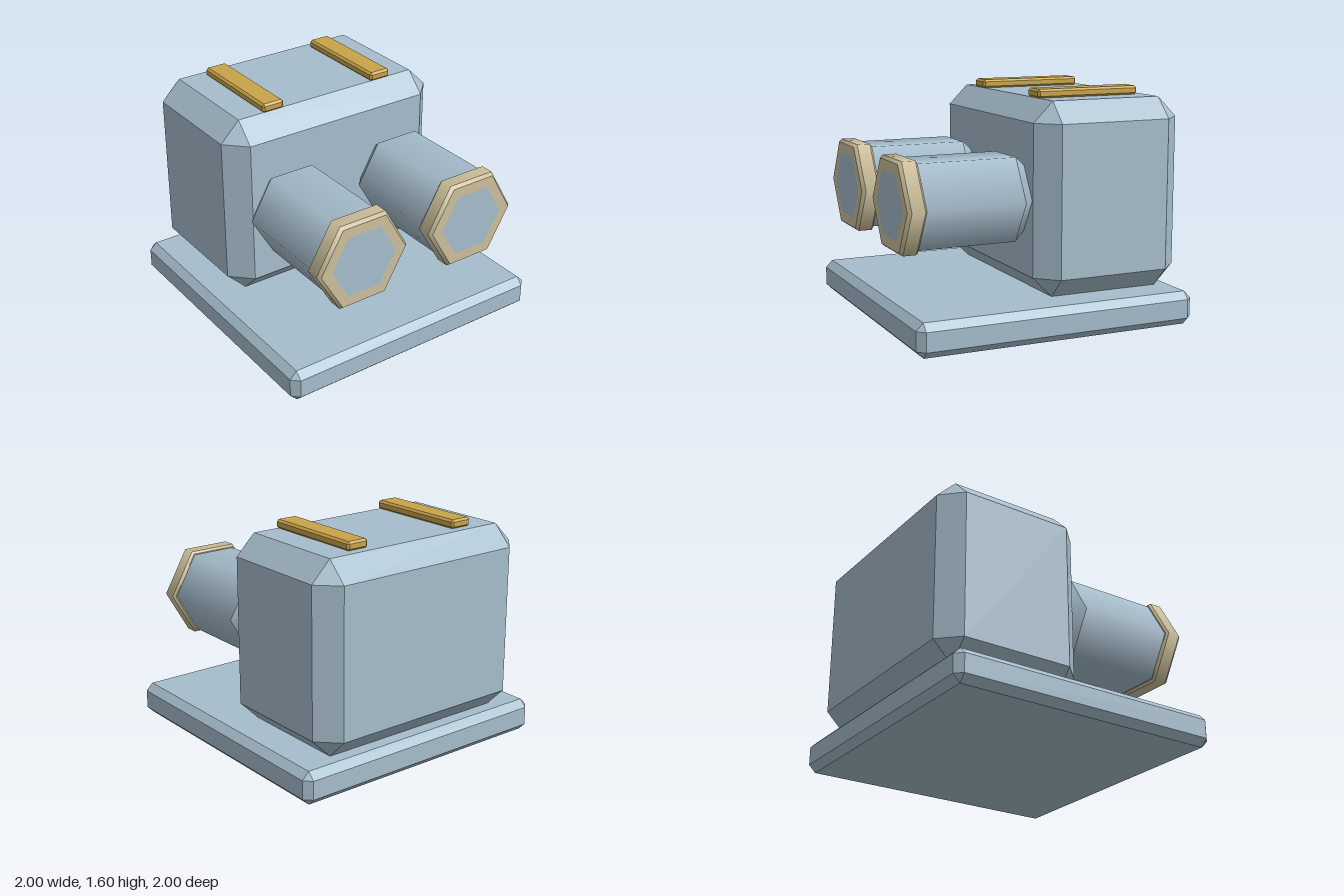
import * as THREE from 'three';
import { ConvexGeometry } from 'three/addons/geometries/ConvexGeometry.js';

// Box between two corners with every edge chamfered by c
function chamferBox(min, max, c) {
  const mid = min.map((v, i) => (v + max[i]) / 2);
  const half = min.map((v, i) => (max[i] - v) / 2);
  const points = [];
  for (const sx of [-1, 1]) for (const sy of [-1, 1]) for (const sz of [-1, 1]) {
    const s = [sx, sy, sz];
    for (let outer = 0; outer < 3; outer++) {
      points.push(new THREE.Vector3(...s.map((d, i) => mid[i] + d * (half[i] - (i === outer ? 0 : c)))));
    }
  }
  return new ConvexGeometry(points);
}

// Smooth-sided hexagonal section along z, with corners pointing to +x and -x
function hexSection(zBack, zFront, rBack, rFront) {
  return new THREE.CylinderGeometry(rFront, rBack, zFront - zBack, 6, 1, true, Math.PI / 2)
    .rotateX(Math.PI / 2)
    .translate(0, 0, (zBack + zFront) / 2);
}

export function createModel() {
  const blue = new THREE.MeshStandardMaterial({ name: 'pale blue', color: 0xa6bdcc });
  const tan = new THREE.MeshStandardMaterial({ name: 'sand', color: 0xcdc09c });
  const gold = new THREE.MeshStandardMaterial({ name: 'gold', color: 0xc9a449 });

  const model = new THREE.Group();
  const add = (parent, name, geometry, material) => {
    const mesh = new THREE.Mesh(geometry, material);
    mesh.name = name;
    parent.add(mesh);
  };

  add(model, 'basePlate', chamferBox([-1, 0, -1], [1, 0.23, 1], 0.05), blue);
  add(model, 'body', chamferBox([-0.85, 0.23, -1], [0.85, 1.54, 0.08], 0.14), blue);

  for (const [side, sign] of [['left', 1], ['right', -1]]) {
    // Strip on the roof
    const x = sign * 0.443;
    add(model, side + 'RoofStrip',
      chamferBox([x - 0.082, 1.537, -0.807], [x + 0.082, 1.6, -0.047], 0.015), gold);

    // Hexagonal barrel with a collar at its mouth
    const barrel = new THREE.Group();
    barrel.name = side + 'Barrel';
    barrel.position.set(sign * 0.443, 0.887, 0);
    add(barrel, 'barrelTaper', hexSection(0.075, 0.157, 0.25, 0.326), blue);
    add(barrel, 'barrelTube', hexSection(0.157, 0.86, 0.326, 0.326), blue);
    // Collar: [z, radius] from back to front
    const collar = [[0.85, 0.32], [0.85, 0.335], [0.865, 0.352], [0.957, 0.352], [0.98, 0.331]];
    for (let i = 1; i < collar.length; i++) {
      const [z0, r0] = collar[i - 1], [z1, r1] = collar[i];
      add(barrel, 'collar', hexSection(z0, z1, r0, r1), tan);
    }
    add(barrel, 'collarFace', new THREE.RingGeometry(0.25, 0.331, 6).translate(0, 0, 0.98), tan);
    add(barrel, 'barrelEnd', new THREE.CircleGeometry(0.25, 6).translate(0, 0, 0.98), blue);
    model.add(barrel);
  }
  return model;
}
